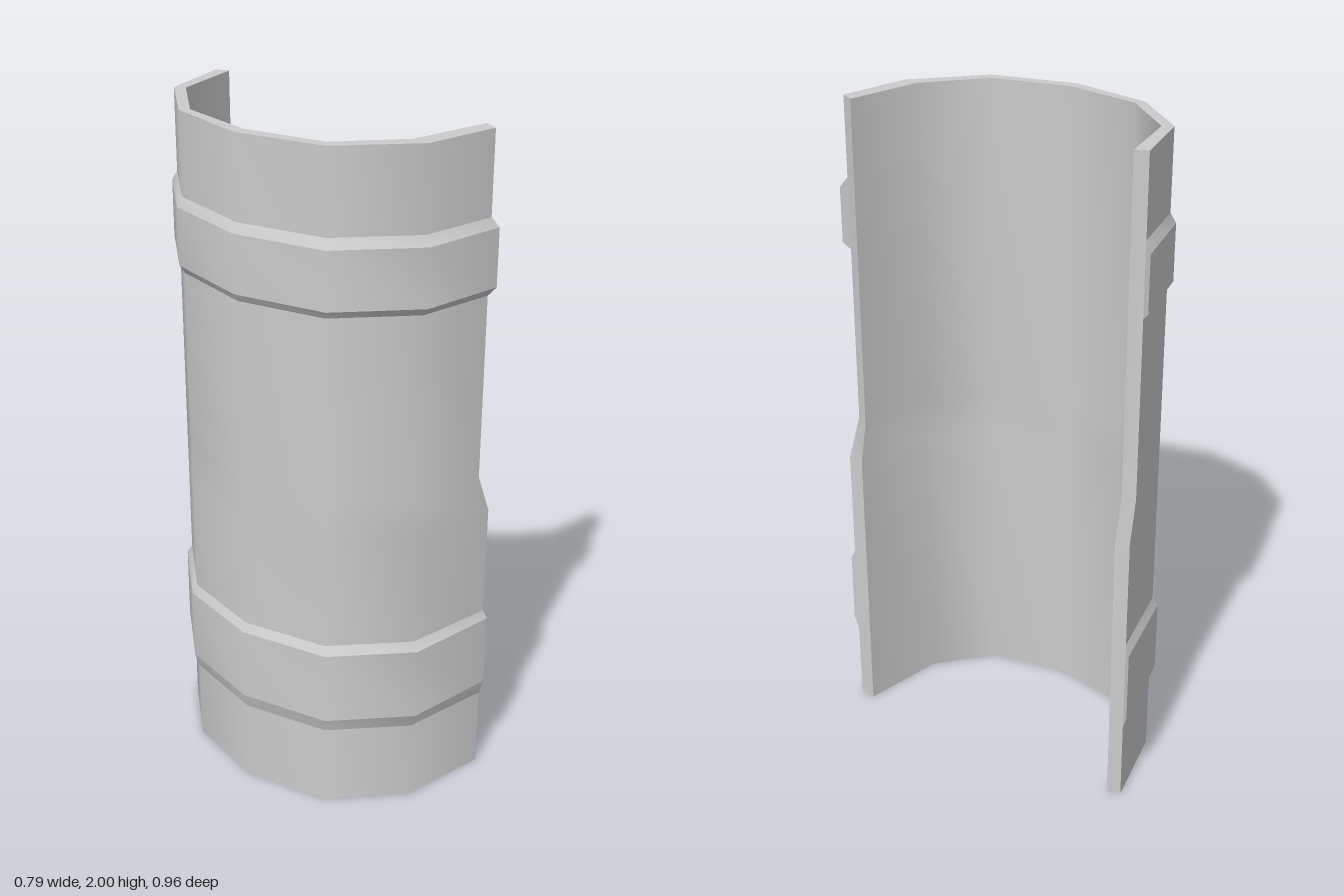
import * as THREE from 'three';
import { mergeGeometries } from 'three/addons/utils/BufferGeometryUtils.js';

// Cross-sections as [x, z], running from the back edge round the left to the front edge
const OUTER = [[-0.335, -0.27], [-0.38, -0.035], [-0.3, 0.212], [-0.12, 0.402], [0.127, 0.46]];
const INNER = [[-0.305, -0.255], [-0.35, -0.032], [-0.27, 0.19], [-0.105, 0.37], [0.107, 0.412]];
const RAISED = [[-0.348, -0.28], [-0.395, -0.035], [-0.311, 0.22], [-0.125, 0.418], [0.132, 0.478]];

const wide = {
  outer: [[-0.14, -0.457], ...OUTER, [0.382, 0.37]],
  inner: [[-0.108, -0.43], ...INNER, [0.36, 0.326]],
  raised: [[-0.138, -0.479], ...RAISED, [0.392, 0.377]],
};
const narrow = {
  outer: [[-0.172, -0.427], ...OUTER, [0.34, 0.386]],
  inner: [[-0.14, -0.402], ...INNER, [0.338, 0.337]],
  raised: [[-0.17, -0.455], ...RAISED, [0.362, 0.392]],
};

const ring = (section, y) => section.map(([x, z]) => new THREE.Vector3(x, y, z));

// Smooth surface through rows of points; faces along (row direction x next row)
function surface(rows) {
  const n = rows[0].length;
  const index = [];
  for (let r = 0; r < rows.length - 1; r++) {
    for (let i = 0; i < n - 1; i++) {
      const a = r * n + i, b = a + n;
      index.push(a, a + 1, b, a + 1, b + 1, b);
    }
  }
  const geometry = new THREE.BufferGeometry().setFromPoints(rows.flat());
  geometry.setIndex(index);
  geometry.computeVertexNormals();
  return geometry;
}

// Closes both long edges of a wall between its inner and outer rows
function endCaps(inner, outer) {
  const column = (rows, i) => rows.map((row) => row.at(i));
  return [
    surface([column(inner, -1), column(outer, -1)]),
    surface([column(outer, 0), column(inner, 0)]),
  ];
}

function makeMesh(name, parts) {
  const material = new THREE.MeshStandardMaterial({ color: 0xcccccc, side: THREE.DoubleSide });
  const mesh = new THREE.Mesh(mergeGeometries(parts), material);
  mesh.name = name;
  return mesh;
}

// Thick open shell, wider below the step in its edges
function makeShell() {
  const levels = [[wide, 0], [wide, 0.88], [narrow, 1.0], [narrow, 2]];
  const outer = levels.map(([s, y]) => ring(s.outer, y));
  const inner = levels.map(([s, y]) => ring(s.inner, y));
  return makeMesh('shell', [
    surface(outer),
    surface([...inner].reverse()),
    surface([outer.at(-1), inner.at(-1)]), // top rim
    surface([inner[0], outer[0]]), // bottom rim
    ...endCaps(inner, outer),
  ]);
}

// Raised band with bevelled upper and lower edges
function makeBand(name, section, [y0, y1, y2, y3]) {
  const base = [ring(section.outer, y0), ring(section.outer, y3)];
  const face = [ring(section.raised, y1), ring(section.raised, y2)];
  return makeMesh(name, [
    surface([base[0], face[0]]),
    surface(face),
    surface([face[1], base[1]]),
    ...endCaps(base, face),
  ]);
}

export function createModel() {
  const model = new THREE.Group();
  model.name = 'armGuard';
  model.add(
    makeShell(),
    makeBand('upperBand', narrow, [1.545, 1.568, 1.735, 1.763]),
    makeBand('lowerBand', wide, [0.25, 0.295, 0.517, 0.543]),
  );
  return model;
}
